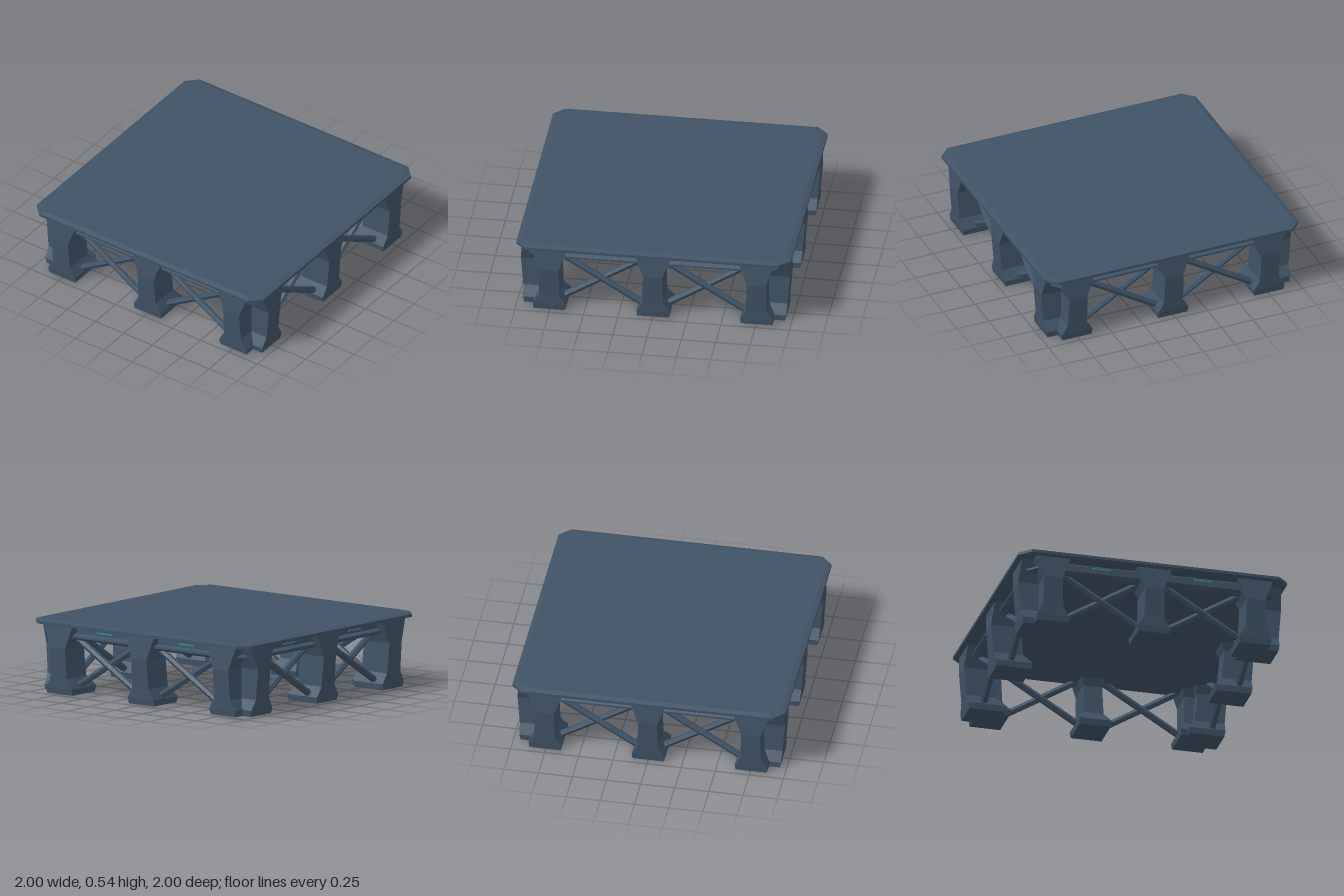
import * as THREE from 'three';

// Faceted solid from equal-sized point rings, bottom to top, each counter-clockwise seen from above
function loft(rings) {
  const pos = [];
  const n = rings[0].length;
  const tri = (a, b, c) => pos.push(...a, ...b, ...c);
  for (let r = 0; r < rings.length - 1; r++) {
    const lo = rings[r], hi = rings[r + 1];
    for (let i = 0; i < n; i++) {
      const j = (i + 1) % n;
      tri(lo[i], lo[j], hi[j]);
      tri(lo[i], hi[j], hi[i]);
    }
  }
  const bottom = rings[0], top = rings[rings.length - 1];
  for (let i = 1; i < n - 1; i++) {
    tri(bottom[0], bottom[i + 1], bottom[i]);
    tri(top[0], top[i], top[i + 1]);
  }
  const g = new THREE.BufferGeometry();
  g.setAttribute('position', new THREE.Float32BufferAttribute(pos, 3));
  g.computeVertexNormals();
  return g;
}

// Square ring with cut corners
function octagon(y, h, cut) {
  const k = h - cut;
  return [[h, y, k], [h, y, -k], [k, y, -h], [-k, y, -h], [-h, y, -k], [-h, y, k], [-k, y, h], [k, y, h]];
}

export function createModel() {
  const steel = new THREE.MeshStandardMaterial({ color: 0x3f5366, flatShading: true });
  steel.name = 'blueSteel';
  const teal = new THREE.MeshStandardMaterial({ color: 0x2a9488 });
  teal.name = 'tealLight';

  const model = new THREE.Group();
  model.name = 'platform';
  const add = (parent, geometry, material, name) => {
    const mesh = new THREE.Mesh(geometry, material);
    mesh.name = name;
    parent.add(mesh);
    return mesh;
  };

  // Deck plate with bevelled rim
  const deck = [[0.5, 0.97], [0.507, 1], [0.528, 1], [0.54, 0.965]];
  add(model, loft(deck.map(([y, h]) => octagon(y, h, 0.08))), steel, 'deck');

  // Stepped frame below the deck
  const frame = [[0.4, 0.89], [0.42, 0.93], [0.435, 0.93], [0.45, 0.9], [0.485, 0.9], [0.5, 0.88]];
  add(model, loft(frame.map(([y, h]) => octagon(y, h, 0.08))), steel, 'underFrame');

  // Waisted column: height, half width, outer z, inner z
  const column = loft([
    [0, 0.115, 0.95, 0.69],
    [0.045, 0.12, 0.957, 0.68],
    [0.12, 0.075, 0.962, 0.74],
    [0.34, 0.07, 0.98, 0.76],
    [0.5, 0.128, 0.965, 0.7],
  ].map(([y, w, out, inn]) => [[w, y, out], [w, y, inn], [-w, y, inn], [-w, y, out]]));

  // Cross brace rod spanning one bay
  const dx = 0.62, dy = 0.38;
  const rod = new THREE.CylinderGeometry(0.025, 0.025, Math.hypot(dx, dy), 6);
  const tilt = Math.atan2(dx, dy);
  const strip = new THREE.BoxGeometry(0.14, 0.01, 0.008);

  // Four identical sides; neighbouring end columns meet at the corners
  for (let s = 0; s < 4; s++) {
    const side = new THREE.Group();
    side.name = ['frontSide', 'leftSide', 'backSide', 'rightSide'][s];
    side.rotation.y = s * Math.PI / 2;
    model.add(side);
    for (const x of [-0.755, 0, 0.755]) {
      add(side, column, steel, x ? 'cornerLeg' : 'middleLeg').position.x = x;
    }
    for (const x of [-0.378, 0.378]) {
      for (const dir of [-1, 1]) {
        const brace = add(side, rod, steel, 'crossBrace');
        brace.position.set(x, 0.238, 0.85 + dir * 0.012);
        brace.rotation.z = dir * tilt;
      }
      add(side, strip, teal, 'lightStrip').position.set(x, 0.472, 0.902);
    }
  }
  return model;
}
